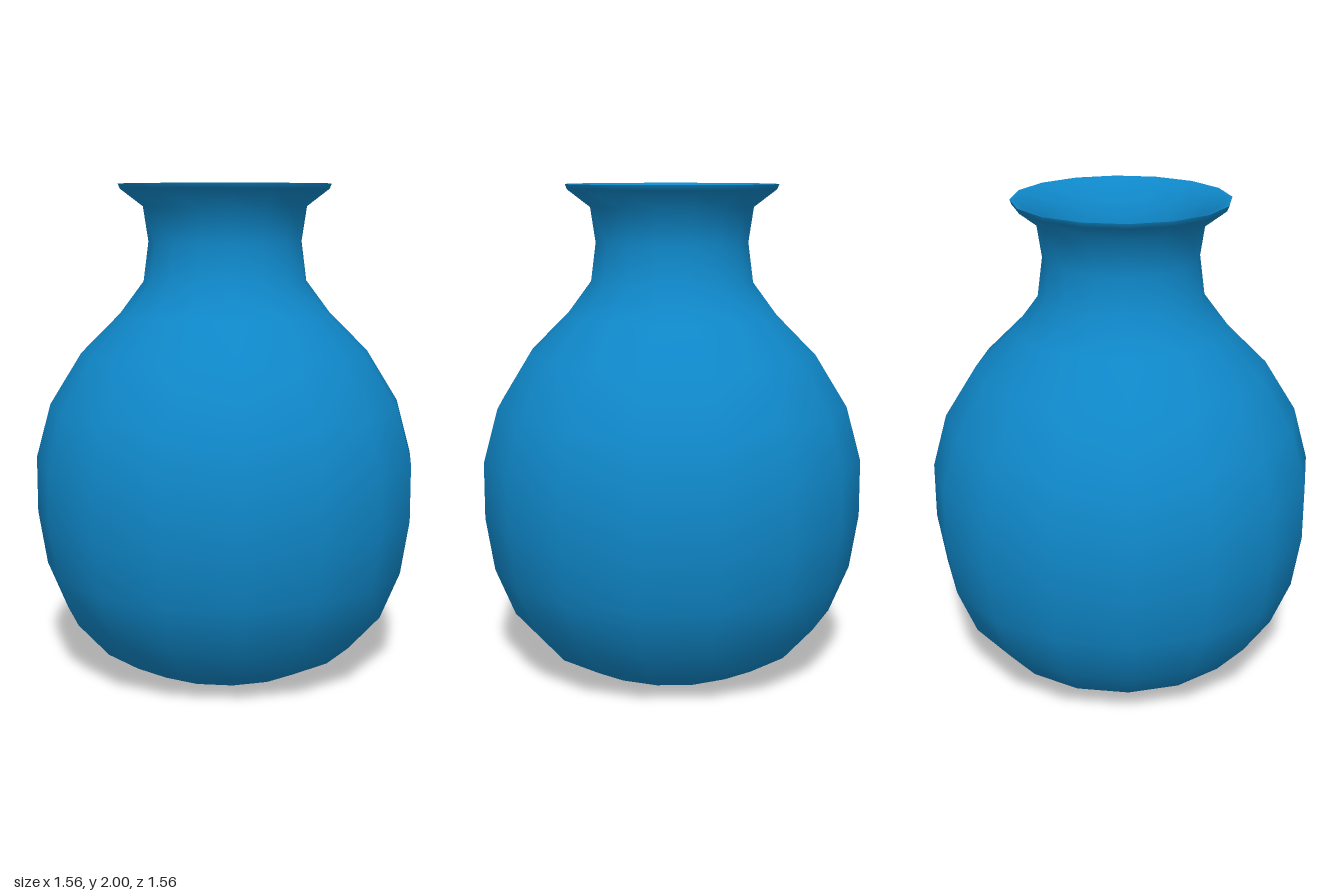
import * as THREE from 'three';

const SIDES = 16;

// Turn a profile of [radius, height] pairs around the y axis
function turned(name, profile, material) {
  const points = profile.map(([r, y]) => new THREE.Vector2(r, y));
  const mesh = new THREE.Mesh(new THREE.LatheGeometry(points, SIDES), material);
  mesh.name = name;
  return mesh;
}

export function createModel() {
  const vase = new THREE.Group();
  vase.name = 'vase';

  const blueGlaze = new THREE.MeshStandardMaterial({ color: 0x0f87c8 });
  blueGlaze.name = 'blueGlaze';

  // Hollow foot, round belly, narrow neck and flared lip
  vase.add(turned('outerWall', [
    [0, 0.07], [0.13, 0.06], [0.23, 0.03], [0.28, 0.0], [0.37, 0.015],
    [0.535, 0.1], [0.665, 0.245], [0.745, 0.44], [0.78, 0.66], [0.78, 0.89],
    [0.72, 1.11], [0.59, 1.32], [0.43, 1.48], [0.333, 1.61], [0.312, 1.77],
    [0.333, 1.91], [0.425, 1.98], [0.433, 2.0],
  ], blueGlaze));

  // Inside of the lip, throat and bowl, down to the floor
  vase.add(turned('innerWall', [
    [0.433, 2.0], [0.41, 1.995], [0.305, 1.92], [0.28, 1.77], [0.302, 1.6],
    [0.41, 1.455], [0.565, 1.3], [0.69, 1.1], [0.745, 0.88], [0.745, 0.66],
    [0.71, 0.45], [0.635, 0.27], [0.51, 0.14], [0.36, 0.07], [0.2, 0.09], [0, 0.11],
  ], blueGlaze));

  return vase;
}
